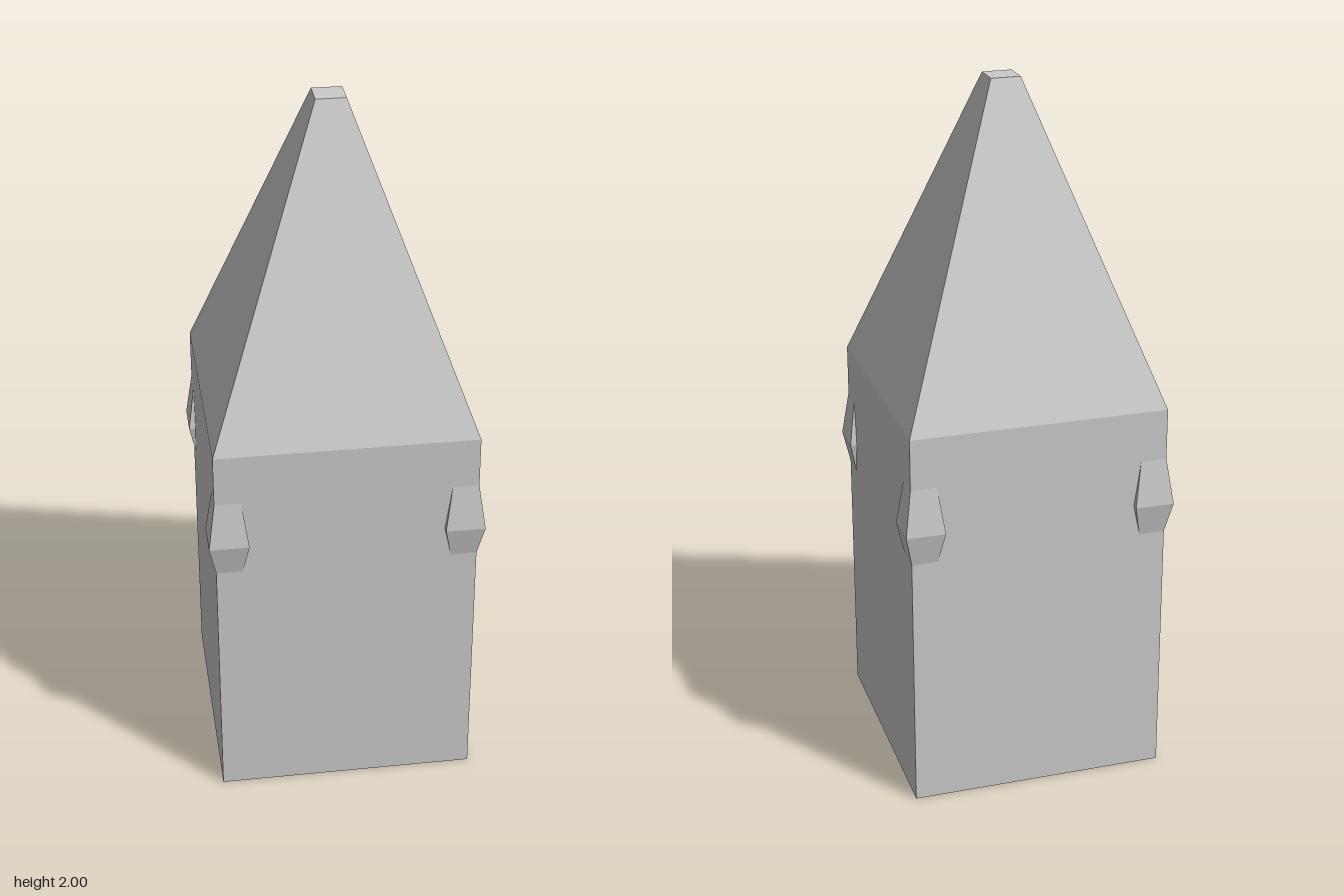
import * as THREE from 'three';

const material = new THREE.MeshStandardMaterial({ color: 0xcccccc, flatShading: true });

// Square tower from [half width, y] pairs, listed bottom to top, closed at both ends
function squareLathe(profile) {
  const points = profile.map(([half, y]) => new THREE.Vector2(half * Math.SQRT2, y));
  points.unshift(new THREE.Vector2(0, profile[0][1]));
  points.push(new THREE.Vector2(0, profile[profile.length - 1][1]));
  return new THREE.LatheGeometry(points, 4, Math.PI / 4);
}

function addPart(group, name, geometry) {
  const mesh = new THREE.Mesh(geometry, material);
  mesh.name = name;
  group.add(mesh);
  return mesh;
}

export function createModel() {
  const model = new THREE.Group();
  model.name = 'taperedPost';

  // Square shaft with a steep, blunt-tipped pyramid above
  addPart(model, 'postBody', squareLathe([[0.368, 0], [0.368, 1.12], [0.042, 2]]));

  // Faceted stud wrapping each corner, widest at mid height
  const stud = squareLathe([[0.036, 0.745], [0.056, 0.84], [0.036, 0.98]]);
  for (const x of [-1, 1]) {
    for (const z of [-1, 1]) {
      const name = (z > 0 ? 'front' : 'back') + (x > 0 ? 'Left' : 'Right') + 'CornerStud';
      addPart(model, name, stud).position.set(x * 0.331, 0, z * 0.331);
    }
  }
  return model;
}
